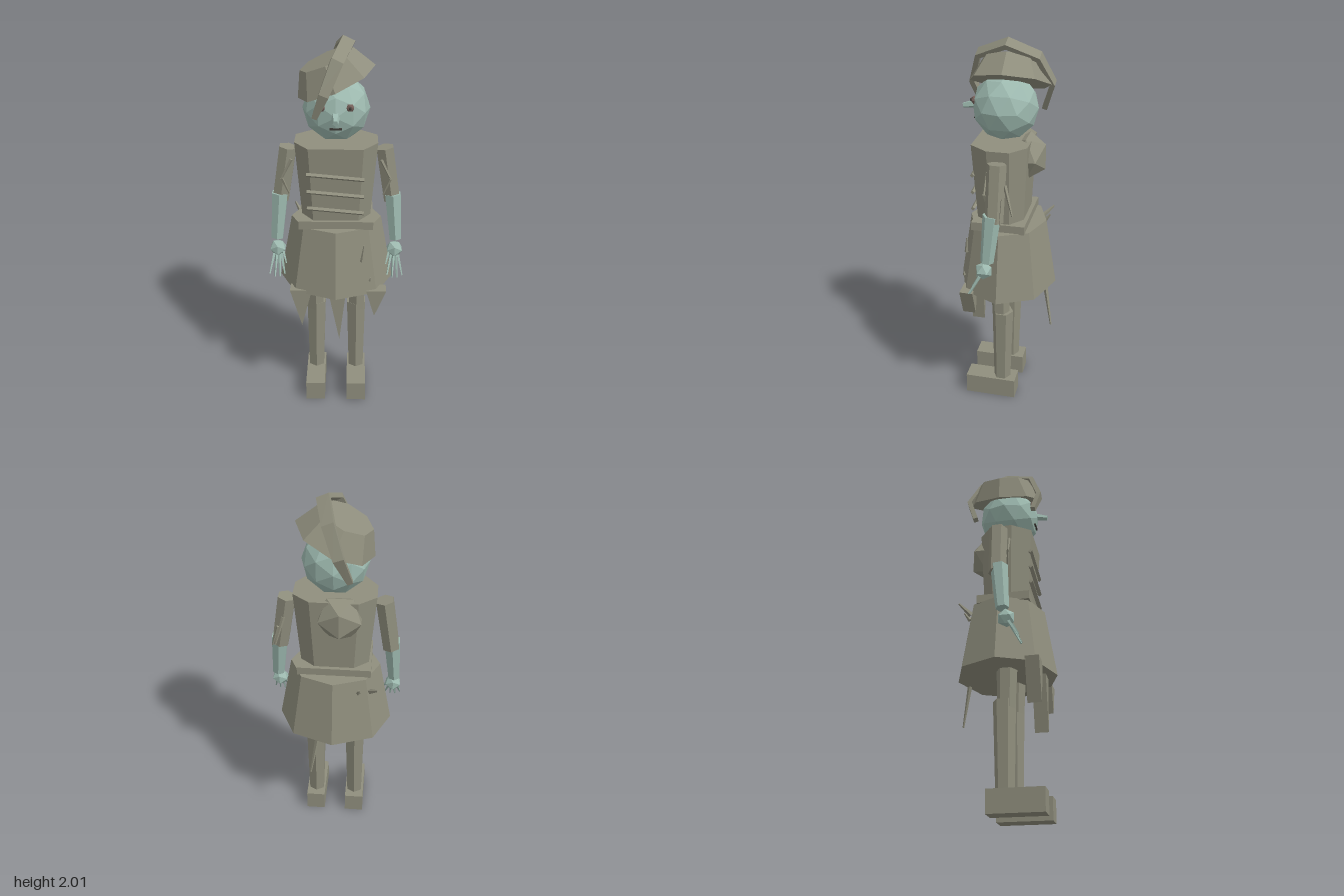
import * as THREE from 'three';

const flat = (name, color) => {
  const m = new THREE.MeshStandardMaterial({ color, flatShading: true });
  m.name = name;
  return m;
};
const V = (x, y, z) => new THREE.Vector3(x, y, z);

export function createModel() {
  const cloth = flat('cloth', 0x8f8e7d);
  const skin = flat('skin', 0x9db9af);
  const eyeMat = flat('eye brown', 0x75605a);
  const dark = flat('dark', 0x3d3a36);
  const root = new THREE.Group();
  root.name = 'figure';

  const add = (name, geo, mat, x = 0, y = 0, z = 0) => {
    const m = new THREE.Mesh(geo, mat);
    m.name = name;
    m.position.set(x, y, z);
    root.add(m);
    return m;
  };
  const box = (name, mat, w, h, d, x, y, z) =>
    add(name, new THREE.BoxGeometry(w, h, d), mat, x, y, z);

  // Tapered bar from point a to point b
  const bar = (name, mat, a, b, ra, rb, sides = 6) => {
    const dir = b.clone().sub(a);
    const m = add(name, new THREE.CylinderGeometry(rb, ra, dir.length(), sides), mat);
    m.position.copy(a).add(b).multiplyScalar(0.5);
    m.quaternion.setFromUnitVectors(V(0, 1, 0), dir.normalize());
    return m;
  };

  // Closed solid through a list of equal-length rings
  const loft = (rings) => {
    const n = rings[0].length, pos = [], idx = [];
    rings.forEach((r) => r.forEach((p) => pos.push(p.x, p.y, p.z)));
    const last = (rings.length - 1) * n;
    for (let k = 0; k < last; k += n) {
      for (let i = 0; i < n; i++) {
        const j = (i + 1) % n;
        idx.push(k + i, k + j, k + n + j, k + i, k + n + j, k + n + i);
      }
    }
    for (let i = 1; i < n - 1; i++) idx.push(0, i + 1, i, last, last + i, last + i + 1);
    const g = new THREE.BufferGeometry();
    g.setAttribute('position', new THREE.Float32BufferAttribute(pos, 3));
    g.setIndex(idx);
    g.computeVertexNormals();
    return g;
  };

  // Boots and legs
  for (const s of [-1, 1]) {
    box('boot', cloth, 0.105, 0.115, 0.28, s * 0.114, 0.0575, 0.07);
    bar('lowerLeg', cloth, V(s * 0.113, 0.11, 0.012), V(s * 0.11, 0.55, 0.008), 0.047, 0.058);
    bar('upperLeg', cloth, V(s * 0.113, 0.51, 0.018), V(s * 0.11, 0.8, 0.022), 0.046, 0.056);
  }

  // Skirt with eight panels
  const skirtGeo = new THREE.CylinderGeometry(0.235, 0.303, 0.36, 8);
  skirtGeo.scale(1, 1, 0.86);
  add('skirt', skirtGeo, cloth, 0, 0.89, 0);

  // Ragged points hanging below the skirt
  for (const [x0, x1, tipX, tipY] of [
    [-0.24, -0.125, -0.18, 0.51], [-0.04, 0.055, 0.02, 0.42], [0.16, 0.265, 0.205, 0.575],
  ]) {
    const tri = new THREE.Shape([
      new THREE.Vector2(x0, 0.73), new THREE.Vector2(tipX, tipY), new THREE.Vector2(x1, 0.73),
    ]);
    add('skirtTatter', new THREE.ExtrudeGeometry(tri, { depth: 0.07, bevelEnabled: false }),
      cloth, 0, 0, 0.135);
  }

  // Belt
  box('belt', cloth, 0.38, 0.045, 0.275, 0, 1.088, 0.015);

  // Torso, widening to the shoulders
  const half = [[0.135, 0.16], [0.207, 0.065], [0.207, -0.05], [0.12, -0.12]];
  const outline = [...half, ...half.slice().reverse().map(([x, z]) => [-x, z])];
  const ring = (y, k) => outline.map(([x, z]) => V(x * k, y, z * k));
  add('torso', loft([ring(1.08, 0.84), ring(1.505, 1)]), cloth);

  // Chest lacing
  for (const y of [1.357, 1.265, 1.175]) {
    bar('chestLace', cloth, V(-0.145, y + 0.013, 0.155), V(0.14, y - 0.013, 0.155), 0.011, 0.011, 4);
  }

  // Pack on the back
  const pack = add('backPack', new THREE.IcosahedronGeometry(0.125, 0), cloth, -0.03, 1.41, -0.095);
  pack.scale.z = 0.85;

  // Arms, hands and fingers
  for (const s of [-1, 1]) {
    const P = (x, y, z) => V(s * x, y, z);
    bar('upperArm', cloth, P(0.288, 1.175, 0.008), P(0.243, 1.46, 0.003), 0.047, 0.049);
    bar('forearm', skin, P(0.312, 0.96, 0.04), P(0.291, 1.21, 0.018), 0.034, 0.046);
    add('hand', new THREE.IcosahedronGeometry(0.046, 0), skin, s * 0.308, 0.907, 0.058);
    for (let i = 0; i < 4; i++) {
      const t = i / 3;
      bar('finger', skin, P(0.29 + 0.038 * t, 0.88, 0.075),
        P(0.27 + 0.08 * t, 0.77 + (i % 3 ? 0 : 0.015), 0.13), 0.009, 0.004, 4);
    }
    bar('thumb', skin, P(0.28, 0.9, 0.075), P(0.262, 0.84, 0.11), 0.009, 0.004, 4);
    // Loose sleeve strips
    bar('sleeveStrip', cloth, P(0.225, 1.41, 0.055), P(0.275, 1.31, 0.06), 0.009, 0.005, 4);
    bar('sleeveStrip', cloth, P(0.275, 1.31, 0.06), P(0.24, 1.22, 0.05), 0.008, 0.004, 4);
  }
  bar('elbowStrip', cloth, V(0.26, 1.36, -0.04), V(0.3, 1.22, -0.085), 0.01, 0.004, 4);
  bar('elbowStrip', cloth, V(0.29, 1.3, -0.035), V(0.325, 1.18, -0.03), 0.009, 0.004, 4);

  // Loose splinters on the skirt
  for (const [a, b, r] of [
    [V(0.075, 0.74, -0.215), V(0.115, 0.5, -0.26), 0.013],
    [V(0.135, 0.905, 0.198), V(0.145, 0.995, 0.19), 0.01],
    [V(0.18, 0.79, 0.2), V(0.182, 0.81, 0.2), 0.008],
    [V(-0.19, 1.0, -0.15), V(-0.23, 1.05, -0.205), 0.014],
    [V(-0.13, 1.0, -0.17), V(-0.135, 1.04, -0.2), 0.012],
  ]) bar('skirtSplinter', cloth, a, b, r, r * 0.35, 4);

  // Head and face
  add('head', new THREE.IcosahedronGeometry(0.166, 1), skin, 0, 1.67, 0.015);
  bar('nose', skin, V(0, 1.677, 0.15), V(0, 1.66, 0.23), 0.024, 0.014, 5);
  for (const s of [-1, 1]) {
    const eye = add('eye', new THREE.IcosahedronGeometry(0.021, 0), eyeMat, s * 0.068, 1.712, 0.157);
    eye.scale.z = 0.7;
    add('pupil', new THREE.IcosahedronGeometry(0.008, 0), dark, s * 0.068, 1.712, 0.171);
  }
  box('mouth', dark, 0.06, 0.008, 0.009, 0, 1.61, 0.164);

  // Tilted cap
  const cap = add('cap', new THREE.CylinderGeometry(0.14, 0.205, 0.12, 8), cloth, -0.025, 1.845, -0.008);
  cap.rotation.z = 0.415;

  // Band arching over the cap from brow to nape
  const path = [
    V(-0.1, 1.665, 0.165), V(-0.055, 1.78, 0.195), V(0.005, 1.925, 0.145), V(0.055, 1.988, -0.005),
    V(0.02, 1.925, -0.15), V(-0.03, 1.79, -0.212), V(-0.08, 1.65, -0.165),
  ];
  const widths = [0.013, 0.024, 0.03, 0.032, 0.03, 0.026, 0.014];
  const bandRings = path.map((p, i) => {
    const t = path[Math.min(i + 1, 6)].clone().sub(path[Math.max(i - 1, 0)]).normalize();
    const side = V(0.91, -0.41, 0);
    side.addScaledVector(t, -side.dot(t)).normalize();
    const out = side.clone().cross(t);
    return [[1, -1], [1, 1], [-1, 1], [-1, -1]].map(([n, s]) =>
      p.clone().addScaledVector(out, n * 0.013).addScaledVector(side, s * widths[i]));
  });
  add('capBand', loft(bandRings), cloth);

  return root;
}
